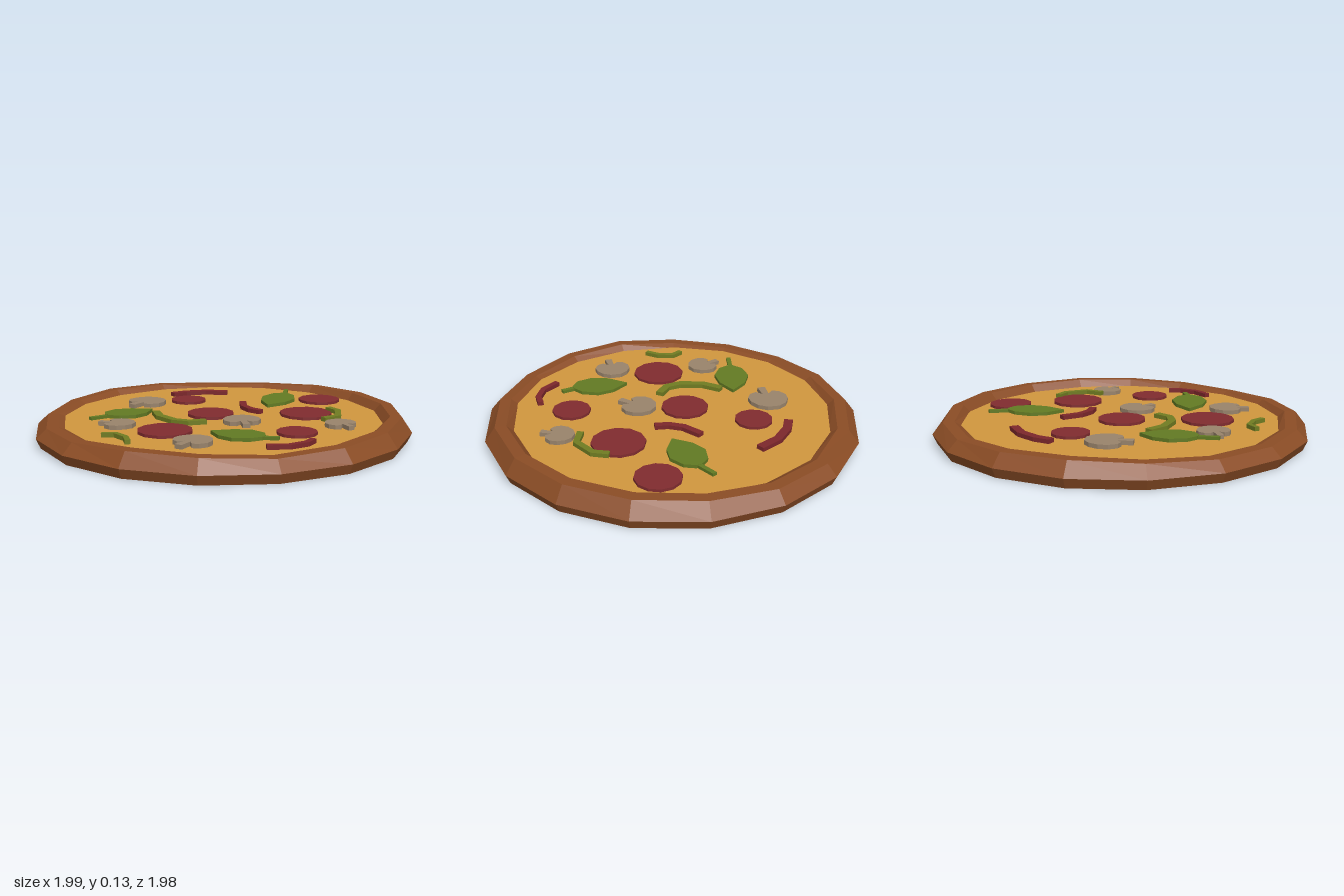
import * as THREE from 'three';

const mat = (name, color) => Object.assign(new THREE.MeshStandardMaterial({ color }), { name });
const CHEESE_Y = 0.092;

// Faceted copy of a geometry
function facet(geo) {
  const g = geo.index ? geo.toNonIndexed() : geo;
  g.computeVertexNormals();
  return g;
}

// Flat slab from an outline of [x, z] points, standing on y = 0
function slab(points, height) {
  const shape = new THREE.Shape(points.map(([x, z]) => new THREE.Vector2(x, -z)));
  const geo = new THREE.ExtrudeGeometry(shape, { depth: height, bevelEnabled: false });
  return geo.rotateX(-Math.PI / 2);
}

// Outline of a curved strip of the given width along [x, z] points
function stripOutline(path, width) {
  const left = [], right = [];
  path.forEach(([x, z], i) => {
    const a = path[Math.max(i - 1, 0)], b = path[Math.min(i + 1, path.length - 1)];
    const dx = b[0] - a[0], dz = b[1] - a[1], k = width / 2 / Math.hypot(dx, dz);
    left.push([x - dz * k, z + dx * k]);
    right.unshift([x + dz * k, z - dx * k]);
  });
  return [...left, ...right];
}

export function createModel() {
  const crustMat = mat('crust brown', 0x8a4c25);
  const cheeseMat = mat('cheese yellow', 0xd0963e);
  const pepperoniMat = mat('pepperoni red', 0x802c2f);
  const mushroomMat = mat('mushroom beige', 0x98836b);
  const leafMat = mat('leaf green', 0x627a23);
  const chiliMat = mat('red pepper', 0x7c272b);
  const greenMat = mat('green pepper', 0x707c22);

  const model = new THREE.Group();
  model.name = 'pizza';
  const add = (name, geo, material, x = 0, y = 0, z = 0) => {
    const mesh = new THREE.Mesh(facet(geo), material);
    mesh.name = name;
    mesh.position.set(x, y, z);
    model.add(mesh);
    return mesh;
  };

  // Crust: 17-sided ring with an uneven rim, closed underneath
  const sides = 17;
  const rim = [.105, .115, .12, .11, .10, .10, .105, .12, .115, .105, .115, .125, .13, .13, .13, .125, .11];
  const profile = [[0, 0], [0.978, 0], [1, 0.05], [0.945, 1], [0.885, 1], [0.845, CHEESE_Y - 0.004]]
    .map(([r, y]) => new THREE.Vector2(r, y));
  const crust = new THREE.LatheGeometry(profile, sides, Math.PI);
  const pos = crust.attributes.position;
  for (let i = 0; i <= sides; i++) {
    const h = rim[i % sides];
    pos.setY(i * profile.length + 3, h);
    pos.setY(i * profile.length + 4, h + 0.002);
  }
  add('crust', crust, crustMat, 0, 0, 0.005);

  // Cheese disc
  add('cheese', new THREE.CylinderGeometry(0.852, 0.852, 0.02, sides, 1, false, Math.PI),
    cheeseMat, 0, CHEESE_Y - 0.01, 0.005);

  // Pepperoni slices: x, z, radius
  [[-0.17, -0.406, 0.1], [0.588, -0.364, 0.118], [-0.064, -0.032, 0.127],
    [0.45, 0, 0.141], [-0.315, 0.348, 0.141], [0.337, 0.428, 0.103]].forEach(([x, z, r]) =>
    add('pepperoni', new THREE.CylinderGeometry(r, r, 0.018, 12, 1, false, Math.PI / 12),
      pepperoniMat, x, CHEESE_Y + 0.006, z));

  // Mushroom slices: x, z, size, direction of the stem
  const half = [[0.2, 1.2], [0.16, 0.45], [0.42, 0.72], [0.75, 0.6], [0.98, 0.2],
    [0.95, -0.25], [0.7, -0.68], [0.3, -0.95]];
  const cap = [...half, ...half.map(([x, z]) => [-x, z]).reverse()];
  [[-0.41, -0.345, 0.11, -0.65, 0.76], [0.086, 0.17, 0.1, 0.12, 1], [-0.55, 0.2, 0.088, -1, -0.35],
    [0.583, 0.285, 0.083, 0.38, 0.92], [-0.185, 0.59, 0.1, -0.6, 0.8]].forEach(([x, z, s, dx, dz]) => {
    const m = add('mushroomSlice', slab(cap.map(([a, b]) => [a * s, b * s]), 0.024),
      mushroomMat, x, CHEESE_Y - 0.002, z);
    m.rotation.y = Math.atan2(dx, dz);
  });

  // Basil leaves: tip, base of the blade, end of the stalk; the stalk end rises a little
  const blade = [[0, 0], [0.3, 0.24], [0.6, 0.32], [0.88, 0.22], [1, 0.05]];
  [[[0.267, -0.198], [0.405, -0.47], [0.425, -0.575]],
    [[-0.38, -0.134], [-0.62, 0.05], [-0.70, 0.118]],
    [[-0.09, 0.4], [0.155, 0.585], [0.225, 0.604]]].forEach(([tip, base, end]) => {
    const dx = base[0] - tip[0], dz = base[1] - tip[1];
    const at = ([u, v]) => [tip[0] + dx * u - dz * v, tip[1] + dz * u + dx * v];
    const outline = [...blade, ...blade.slice(1).map(([u, v]) => [u, -v]).reverse()].map(at);
    const lift = (geo) => {
      const p = geo.attributes.position, len2 = dx * dx + dz * dz;
      for (let i = 0; i < p.count; i++) {
        const u = ((p.getX(i) - tip[0]) * dx + (p.getZ(i) - tip[1]) * dz) / len2;
        p.setY(i, p.getY(i) + 0.012 * u);
      }
      return geo;
    };
    add('basilLeaf', lift(slab(outline, 0.018)), leafMat, 0, CHEESE_Y, 0);
    add('basilStalk', lift(slab(stripOutline([at([0.95, 0]), end], 0.025), 0.016)), leafMat, 0, CHEESE_Y, 0);
  });

  // Pepper strips: name, material, width, lift, path of [x, z]
  [['redPepperStrip', chiliMat, 0.046, 0, [[-0.26, -0.565], [-0.18, -0.605], [-0.06, -0.625], [0.07, -0.6]]],
    ['redPepperStrip', chiliMat, 0.038, 0, [[0.135, -0.285], [0.13, -0.17], [0.16, -0.095], [0.212, -0.043]]],
    ['redPepperStrip', chiliMat, 0.032, 0, [[0.15, 0.715], [0.26, 0.715], [0.345, 0.67], [0.388, 0.61]]],
    ['greenPepperStrip', greenMat, 0.043, 0,
      [[-0.36, -0.065], [-0.34, 0.045], [-0.267, 0.15], [-0.19, 0.19], [-0.1, 0.17]]],
    ['greenPepperStrip', greenMat, 0.035, 0.008, [[0.583, -0.055], [0.622, 0.02], [0.598, 0.15], [0.51, 0.203]]],
    ['greenPepperStrip', greenMat, 0.028, 0, [[-0.625, 0.422], [-0.556, 0.43], [-0.505, 0.503], [-0.492, 0.58]]],
  ].forEach(([name, material, width, lift, path]) =>
    add(name, slab(stripOutline(path, width), 0.022), material, 0, CHEESE_Y + lift, 0));

  return model;
}
